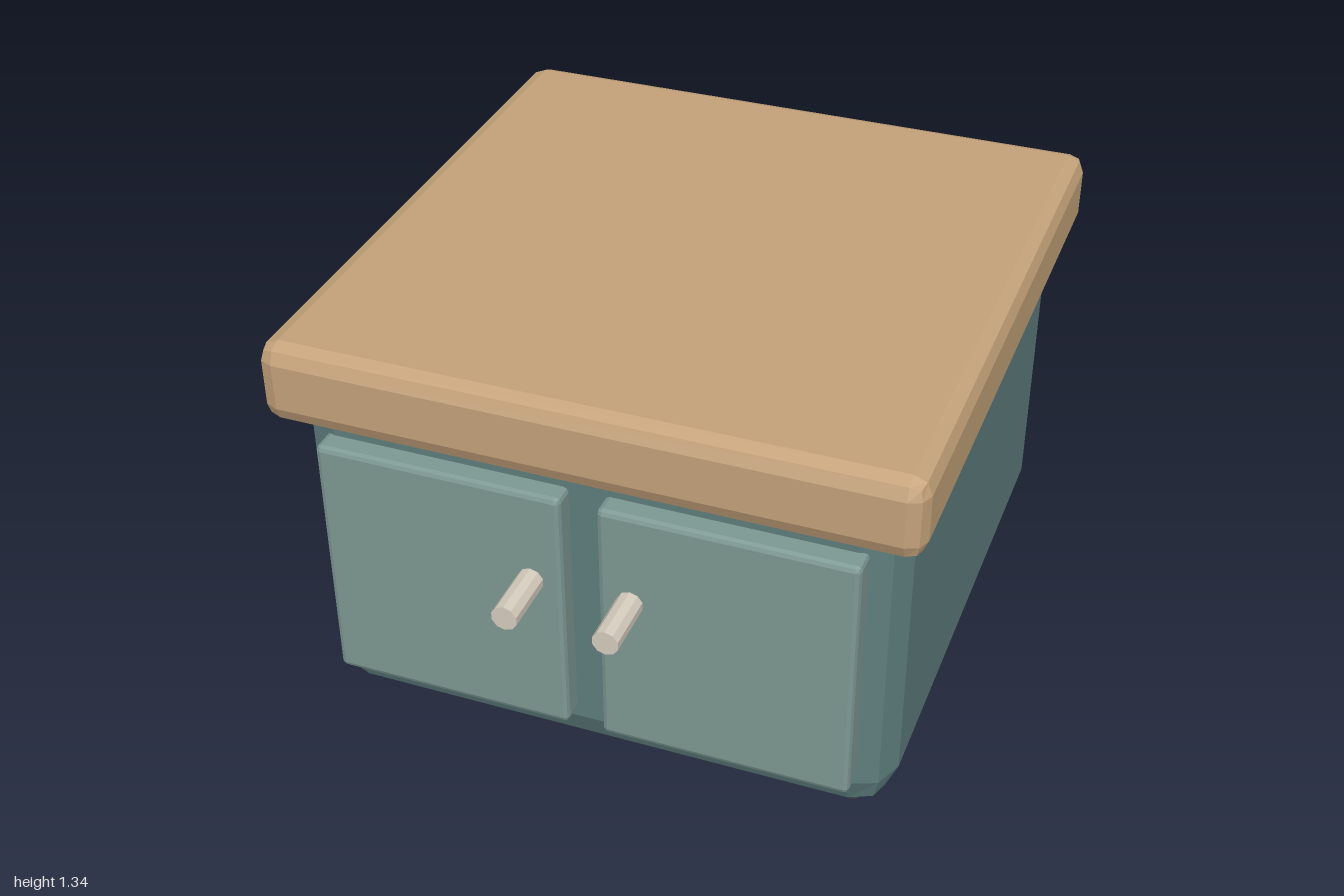
import * as THREE from 'three';
import { RoundedBoxGeometry } from 'three/addons/geometries/RoundedBoxGeometry.js';

const material = (color) => new THREE.MeshStandardMaterial({ color, flatShading: true });

// Box with two-facet bevelled edges, given by its [min, max] extents
function bevelBox(name, [x0, x1], [y0, y1], [z0, z1], bevel, mat) {
  const geometry = new RoundedBoxGeometry(x1 - x0, y1 - y0, z1 - z0, 1, bevel);
  const mesh = new THREE.Mesh(geometry, mat);
  mesh.position.set((x0 + x1) / 2, (y0 + y1) / 2, (z0 + z1) / 2);
  mesh.name = name;
  return mesh;
}

export function createModel() {
  const group = new THREE.Group();
  group.name = 'cabinet';
  const wood = material(0xc4a27a);
  const teal = material(0x5f7e7e);
  const paleTeal = material(0x7d9893);
  const dark = material(0x505252);
  const cream = material(0xd6cdbe);

  // Recessed plinth, body and overhanging worktop
  group.add(
    bevelBox('plinth', [-0.72, 0.72], [0, 0.16], [-0.87, 0.56], 0.03, dark),
    bevelBox('body', [-0.84, 0.84], [0.16, 1.24], [-0.925, 0.765], 0.115, teal),
    bevelBox('worktop', [-0.9, 0.9], [1.105, 1.34], [-1, 0.83], 0.05, wood)
  );

  // Mirrored pair of doors, each with a peg knob near the middle
  for (const [side, s] of [['left', 1], ['right', -1]]) {
    const xs = s > 0 ? [0.05, 0.75] : [-0.75, -0.05];
    group.add(bevelBox(side + 'Door', xs, [0.3, 1.06], [0.7, 0.83], 0.015, paleTeal));

    const knob = new THREE.Mesh(new THREE.CylinderGeometry(0.037, 0.037, 0.2, 10), cream);
    knob.rotation.x = Math.PI / 2;
    knob.position.set(s * 0.14, 0.782, 0.9);
    knob.name = side + 'Knob';
    group.add(knob);
  }
  return group;
}
